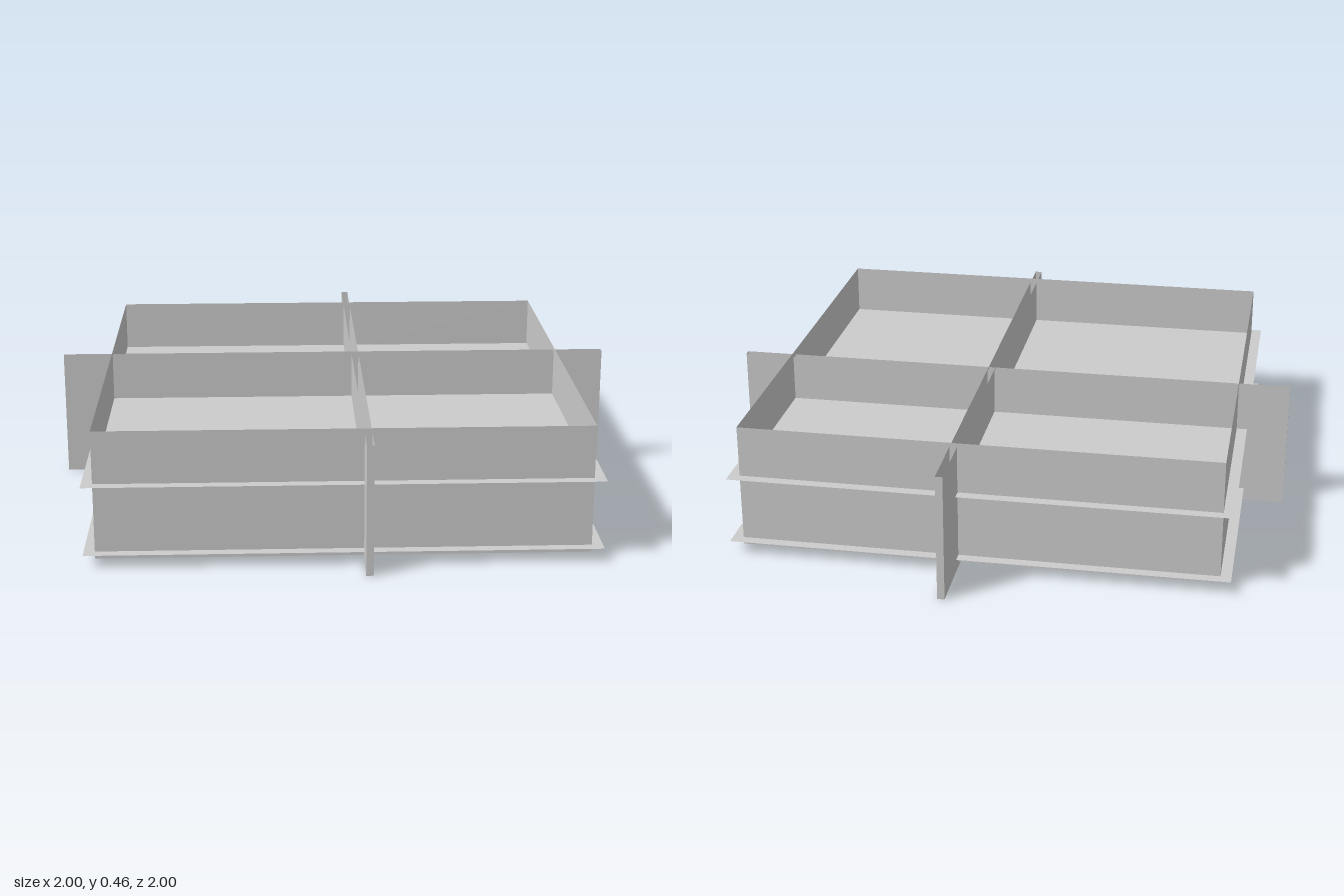
import * as THREE from 'three';

const material = new THREE.MeshStandardMaterial({ color: 0xcccccc, flatShading: true, side: THREE.DoubleSide });

// Centre and half size of the tray walls and of the wider plates
const CENTER_Z = 0.05;
const WALL = 0.82;
const PLATE = 0.857;

function addSheet(parent, name, geometry, x, y, z, rx = 0, ry = 0) {
  const mesh = new THREE.Mesh(geometry, material);
  mesh.name = name;
  mesh.position.set(x, y, z);
  mesh.rotation.set(rx, ry, 0);
  parent.add(mesh);
}

// Long divider outline with two slots cut in the lower edge
function dividerGeometry() {
  const shape = new THREE.Shape();
  shape.moveTo(-1, 0);
  for (const [from, to] of [[-0.245, -0.17], [0.597, 0.672]]) {
    shape.lineTo(from, 0);
    shape.lineTo(from, 0.045);
    shape.lineTo(to, 0.045);
    shape.lineTo(to, 0);
  }
  shape.lineTo(1, 0);
  shape.lineTo(1, 0.445);
  shape.lineTo(-1, 0.445);
  return new THREE.ShapeGeometry(shape);
}

// Two thin parallel sheets closed at the ends, open along the top
function createDivider(name, side) {
  const divider = new THREE.Group();
  divider.name = name;
  const sheet = dividerGeometry();
  for (const offset of [0.065, 0.09]) {
    addSheet(divider, 'dividerSheet', sheet, 0, 0, side * offset);
  }
  const cap = new THREE.PlaneGeometry(0.025, 0.445);
  for (const end of [-1, 1]) {
    addSheet(divider, 'dividerEnd', cap, end, 0.2225, side * 0.0775, 0, Math.PI / 2);
  }
  return divider;
}

export function createModel() {
  const model = new THREE.Group();
  model.name = 'dividedTray';

  // Outer walls
  const wall = new THREE.PlaneGeometry(2 * WALL, 0.44);
  for (const s of [-1, 1]) {
    addSheet(model, s > 0 ? 'frontWall' : 'backWall', wall, 0, 0.24, CENTER_Z + s * WALL);
    addSheet(model, s > 0 ? 'leftWall' : 'rightWall', wall, s * WALL, 0.24, CENTER_Z, 0, Math.PI / 2);
  }

  // Compartment floor and base plate, both reaching past the walls
  const plate = new THREE.PlaneGeometry(2 * PLATE, 2 * PLATE);
  addSheet(model, 'compartmentFloor', plate, 0, 0.28, CENTER_Z, -Math.PI / 2);
  addSheet(model, 'basePlate', plate, 0, 0.045, CENTER_Z, -Math.PI / 2);

  // Crossing dividers
  model.add(createDivider('crosswiseDivider', -1));
  const lengthwise = createDivider('lengthwiseDivider', 1);
  lengthwise.rotation.y = Math.PI / 2;
  model.add(lengthwise);

  return model;
}
